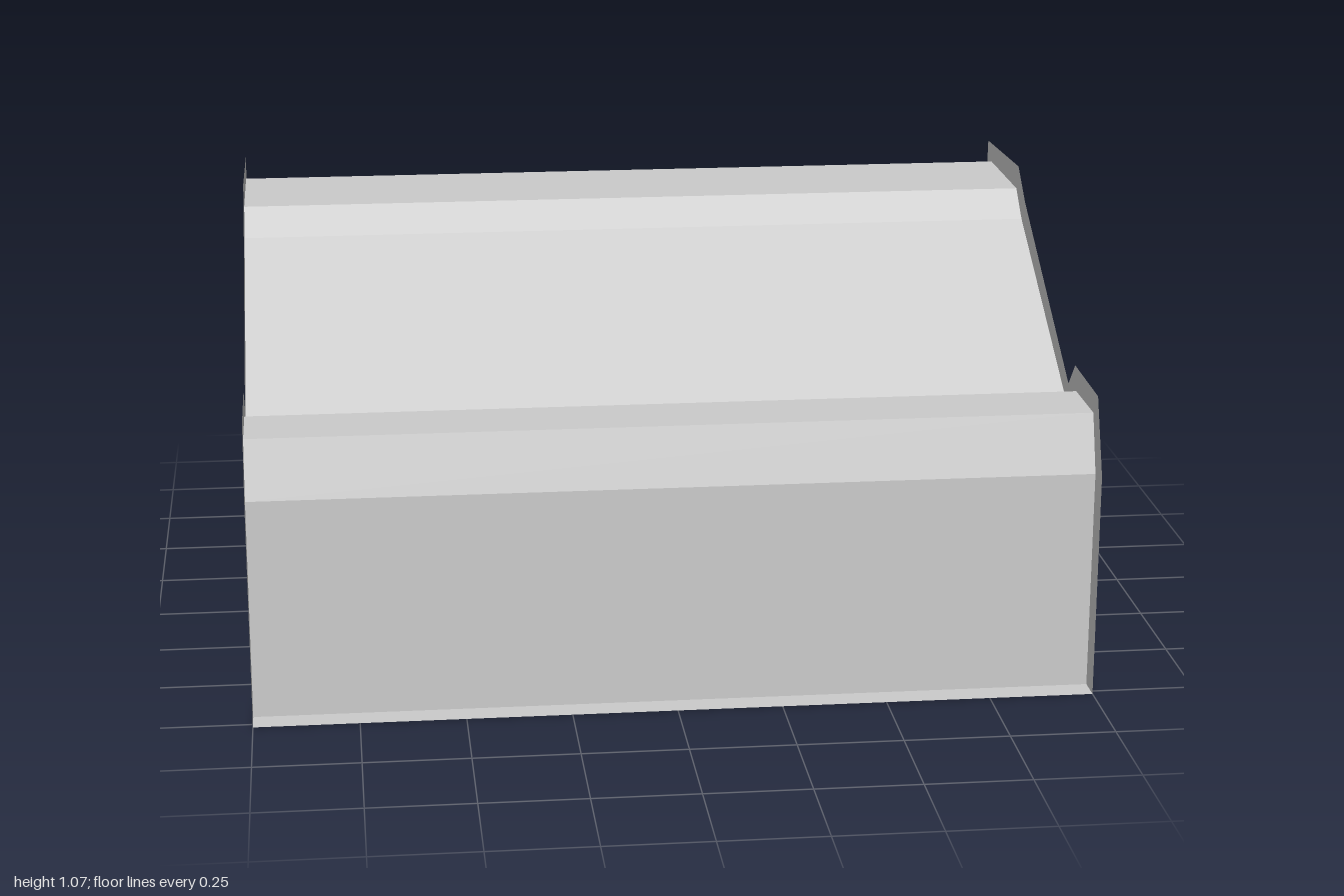
import * as THREE from 'three';

// Cross-section points as [z, y], from the front foot over the top to the back foot
const inner = [
  [0.705, 0], [0.705, 0.535], [0.66, 0.673], [0.484, 0.673], [0.408, 0.607], [-0.177, 0.94],
  [-0.25, 1.004], [-0.566, 1.004], [-0.566, 0.876], [-0.702, 0.738], [-0.702, 0.34],
];
const outer = [
  [0.768, 0], [0.768, 0.548], [0.698, 0.725], [0.463, 0.732], [0.402, 0.668], [-0.142, 0.992],
  [-0.233, 1.066], [-0.614, 1.051], [-0.627, 0.896], [-0.76, 0.761], [-0.764, 0.34],
];
const HALF = 1;

const material = new THREE.MeshStandardMaterial({
  color: 0xcccccc, flatShading: true, side: THREE.DoubleSide,
});

// Sweep an open [z, y] path across the width, one flat panel per segment
function panelStrip(path) {
  const positions = [];
  for (let i = 0; i < path.length - 1; i++) {
    const [z0, y0] = path[i];
    const [z1, y1] = path[i + 1];
    const a = [-HALF, y0, z0], b = [HALF, y0, z0];
    const c = [HALF, y1, z1], d = [-HALF, y1, z1];
    positions.push(...a, ...b, ...c, ...a, ...c, ...d);
  }
  const geometry = new THREE.BufferGeometry();
  geometry.setAttribute('position', new THREE.Float32BufferAttribute(positions, 3));
  geometry.computeVertexNormals();
  return geometry;
}

export function createModel() {
  const group = new THREE.Group();
  group.name = 'foldedCover';
  const add = (name, geometry) => {
    const mesh = new THREE.Mesh(geometry, material);
    mesh.name = name;
    group.add(mesh);
    return mesh;
  };

  // Folded sheet
  add('foldedSheet', panelStrip(inner));

  // Narrow strips under the two legs
  const last = inner.length - 1;
  add('frontFoot', panelStrip([outer[0], inner[0]]));
  add('backFoot', panelStrip([inner[last], outer[last]]));

  // Raised rims at both ends, filling the band between the two profiles
  const outline = [...inner, ...outer.slice().reverse()];
  const rimShape = new THREE.Shape(outline.map(([z, y]) => new THREE.Vector2(z, y)));
  for (const [name, side] of [['leftRim', 1], ['rightRim', -1]]) {
    // The rim is turned so the shape's x runs along z
    const geometry = new THREE.ShapeGeometry(rimShape).rotateY(-Math.PI / 2);
    if (side > 0) {
      // Reverse the winding so the left rim faces outward
      geometry.index.array.reverse();
      geometry.computeVertexNormals();
    }
    add(name, geometry).position.x = side * HALF;
  }
  return group;
}
